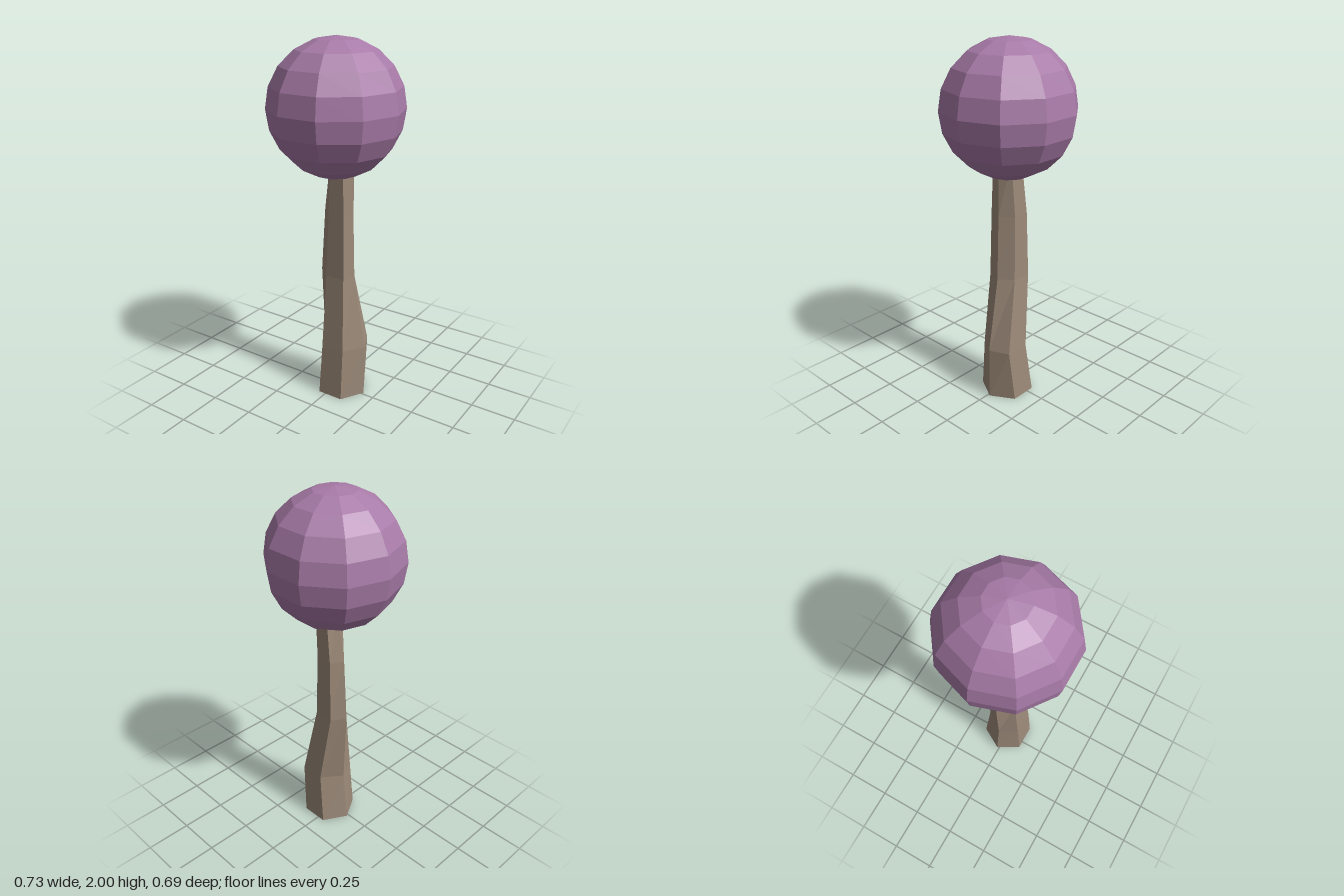
import * as THREE from 'three';

// Six-sided trunk cross-sections, bottom to top:
// height, front z, back z, then x of right, front right, front left, left, back left, back right corners
const TRUNK_RINGS = [
  [0.0, 0.115, -0.141, 0.18, 0.106, -0.041, -0.115, -0.041, 0.106],
  [0.3, 0.095, -0.123, 0.18, 0.105, -0.031, -0.085, -0.003, 0.134],
  [0.72, 0.062, -0.09, 0.11, 0.087, -0.024, -0.105, -0.056, 0.054],
  [1.08, 0.054, -0.084, 0.1, 0.081, -0.013, -0.082, -0.047, 0.046],
  [1.4, 0.046, -0.076, 0.098, 0.072, -0.004, -0.034, -0.01, 0.066],
];

// Closed loft through the cross-sections
function loft(rings) {
  const positions = [];
  const sides = 6;
  for (const [y, front, back, ...xs] of rings) {
    const mid = (front + back) / 2;
    const zs = [mid, front, front, mid, back, back];
    xs.forEach((x, i) => positions.push(x, y, zs[i]));
  }
  const index = [];
  for (let j = 0; j < rings.length - 1; j++) {
    for (let i = 0; i < sides; i++) {
      const a = j * sides + i;
      const b = j * sides + ((i + 1) % sides);
      index.push(a, a + sides, b, b, a + sides, b + sides);
    }
  }
  // End caps
  const top = (rings.length - 1) * sides;
  for (let i = 1; i < sides - 1; i++) {
    index.push(0, i, i + 1, top, top + i + 1, top + i);
  }
  const geometry = new THREE.BufferGeometry();
  geometry.setAttribute('position', new THREE.Float32BufferAttribute(positions, 3));
  geometry.setIndex(index);
  geometry.computeVertexNormals();
  return geometry;
}

export function createModel() {
  const model = new THREE.Group();
  model.name = 'tree';

  // Crooked tapering trunk
  const trunk = new THREE.Mesh(
    loft(TRUNK_RINGS),
    new THREE.MeshStandardMaterial({ color: 0x9c8a79, flatShading: true })
  );
  trunk.name = 'trunk';

  // Faceted round crown
  const crown = new THREE.Mesh(
    new THREE.SphereGeometry(0.363, 10, 10),
    new THREE.MeshStandardMaterial({ color: 0xa87ba8, flatShading: true })
  );
  crown.name = 'crown';
  crown.position.y = 2 - 0.363;

  model.add(trunk, crown);
  return model;
}
